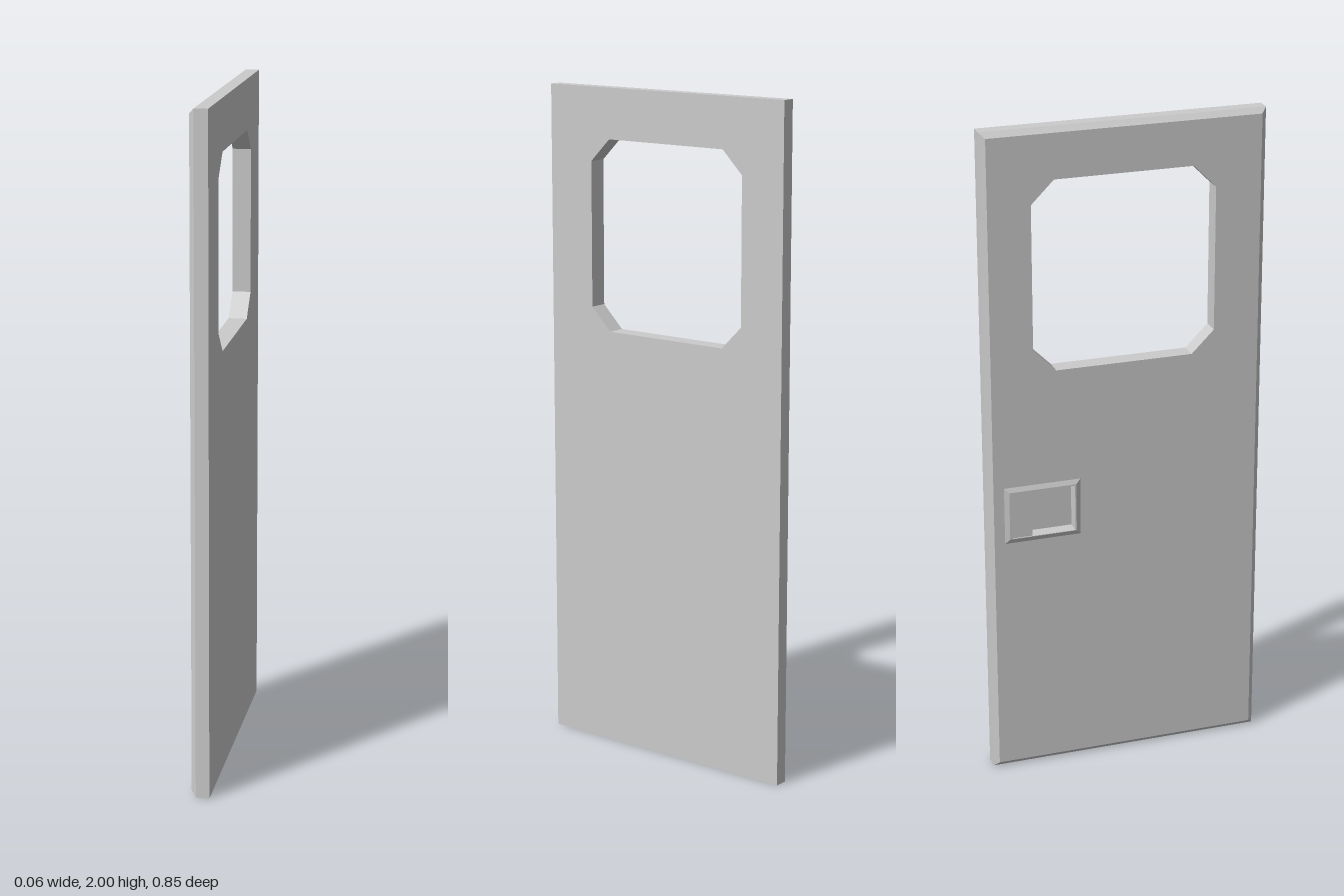
import * as THREE from 'three';

const material = new THREE.MeshStandardMaterial({ color: 0xcccccc, flatShading: true });

// Closed rectangle in the (z, y) plane with optional cut corners
function outline(z0, z1, y0, y1, cut, Type = THREE.Path) {
  const p = cut
    ? [[z0 + cut, y0], [z1 - cut, y0], [z1, y0 + cut], [z1, y1 - cut],
       [z1 - cut, y1], [z0 + cut, y1], [z0, y1 - cut], [z0, y0 + cut]]
    : [[z0, y0], [z1, y0], [z1, y1], [z0, y1]];
  return new Type(p.map(([a, b]) => new THREE.Vector2(a, b)));
}

// Slab running from xBack towards -x, its outer rim chamfered between xMid and xFace
function chamferedSlab(name, [z0, z1, y0, y1], holes, xBack, xMid, xFace, inset) {
  const shape = outline(z0, z1, y0, y1, 0, THREE.Shape);
  shape.holes.push(...holes);
  const depth = xBack - xFace;
  const steps = xMid < xBack ? 2 : 1;
  const geo = new THREE.ExtrudeGeometry(shape, { depth, steps, bevelEnabled: false });
  const pos = geo.attributes.position;
  const near = (a, b) => Math.abs(a - b) < 1e-5;
  for (let i = 0; i < pos.count; i++) {
    const u = pos.getX(i), v = pos.getY(i), w = pos.getZ(i);
    if (near(w, depth)) {
      if (near(u, z0)) pos.setX(i, z0 + inset);
      if (near(u, z1)) pos.setX(i, z1 - inset);
      if (near(v, y0)) pos.setY(i, y0 + inset);
      if (near(v, y1)) pos.setY(i, y1 - inset);
    } else if (!near(w, 0)) pos.setZ(i, xBack - xMid);
  }
  geo.rotateY(-Math.PI / 2);
  geo.translate(xBack, 0, 0);
  geo.computeVertexNormals();
  const mesh = new THREE.Mesh(geo, material);
  mesh.name = name;
  return mesh;
}

function block(name, x0, x1, y0, y1, z0, z1) {
  const mesh = new THREE.Mesh(new THREE.BoxGeometry(x1 - x0, y1 - y0, z1 - z0), material);
  mesh.position.set((x0 + x1) / 2, (y0 + y1) / 2, (z0 + z1) / 2);
  mesh.name = name;
  return mesh;
}

export function createModel() {
  const door = new THREE.Group();
  door.name = 'door';

  // Door leaf with window opening and handle pocket
  const pocket = [-0.352, -0.16, 0.768, 0.912];
  const windowHole = outline(-0.28, 0.27, 1.28, 1.85, 0.068);
  door.add(chamferedSlab('doorPanel', [-0.423, 0.423, 0, 2],
    [windowHole, outline(...pocket, 0)], 0.03, -0.01, -0.025, 0.016));

  // Recessed handle: pocket floor, raised surround and grip plate
  const handle = new THREE.Group();
  handle.name = 'recessedHandle';
  const [z0, z1, y0, y1] = pocket;
  handle.add(block('pocketFloor', 0.01, 0.03, y0, y1, z0, z1));
  handle.add(chamferedSlab('handleSurround', [-0.375, -0.142, 0.752, 0.93],
    [outline(...pocket, 0)], -0.025, -0.025, -0.031, 0.014));
  handle.add(block('gripPlate', -0.028, -0.018, y0, y1, z0, z0 + 0.06));
  door.add(handle);

  return door;
}
